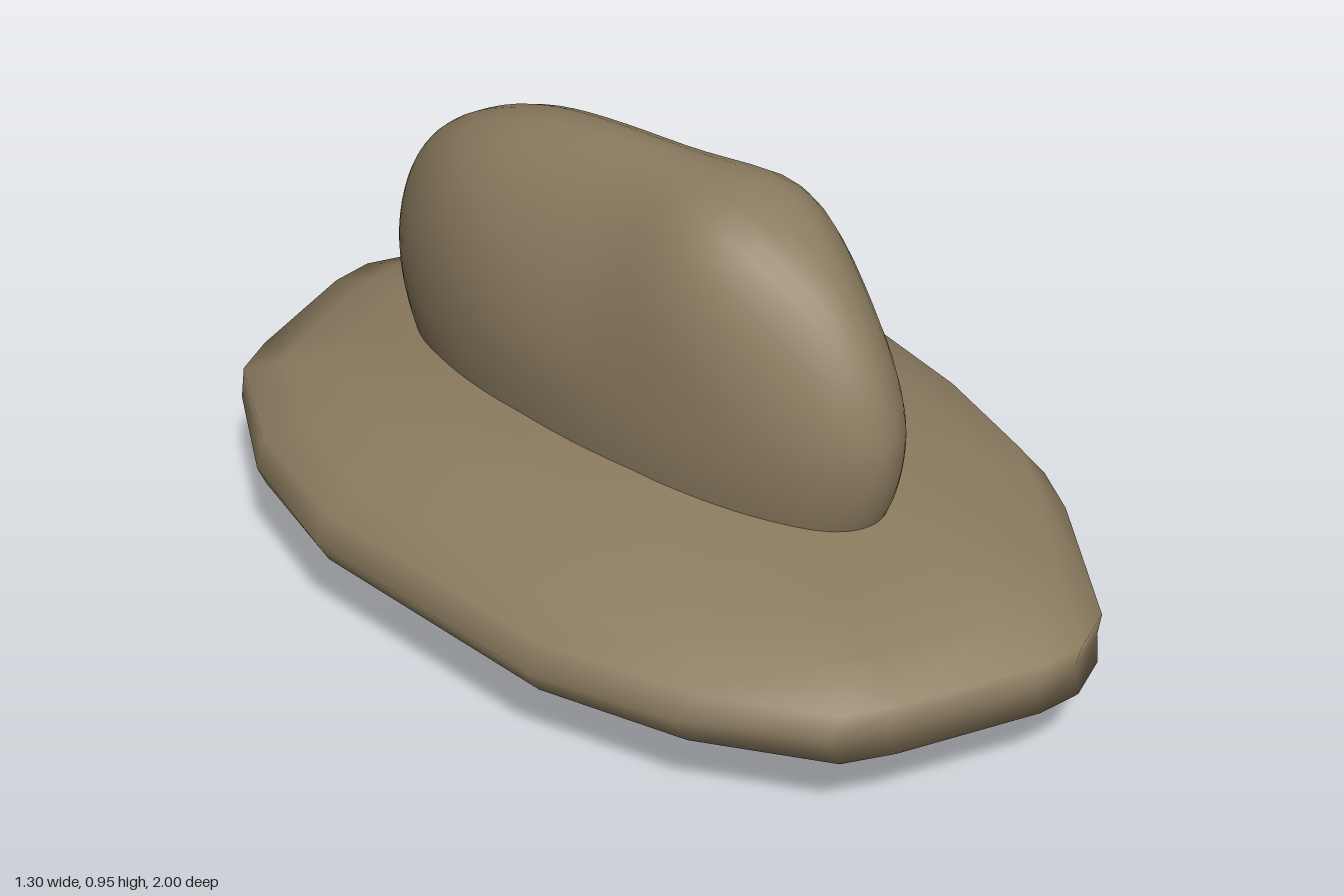
import * as THREE from 'three';

// Skin closed cross-section rings and close both ends
function loft(rings, start, end) {
  const n = rings[0].length, m = rings.length;
  const points = [...rings.flat(), start, end];
  const index = [], first = n * m, last = first + 1;
  for (let j = 0; j < n; j++) {
    const k = (j + 1) % n;
    index.push(first, j, k);
    for (let i = 0; i < m - 1; i++) {
      const a = i * n + j, b = i * n + k;
      index.push(a, a + n, b, b, a + n, b + n);
    }
    index.push(last, (m - 1) * n + k, (m - 1) * n + j);
  }
  const geometry = new THREE.BufferGeometry();
  geometry.setAttribute('position', new THREE.Float32BufferAttribute(points.flat(), 3));
  geometry.setIndex(index);
  geometry.computeVertexNormals();
  return geometry;
}

// Wide, angular brim: one outline rescaled level by level
function brimGeometry() {
  const half = [[0.65, 0], [0.59, 0.3], [0.5, 0.57], [0.43, 0.68], [0.19, 0.96], [0.08, 1],
    [-0.02, 0.99], [-0.31, 0.89], [-0.41, 0.84], [-0.56, 0.6], [-0.65, 0.3], [-0.65, 0]];
  const outline = [...half, ...half.slice(1, -1).reverse().map(([x, z]) => [x, -z])];
  // height, extent towards -x, extent towards +x, extent along z
  const levels = [
    [0.004, 0.1, 0.13, 0.25], [0.023, 0.38, 0.22, 0.55], [0.065, 0.47, 0.43, 0.79],
    [0.1, 0.55, 0.57, 0.88], [0.16, 0.62, 0.61, 1], [0.21, 0.65, 0.65, 0.985],
    [0.265, 0.62, 0.62, 1], [0.31, 0.56, 0.6, 0.89], [0.347, 0.48, 0.49, 0.77],
    [0.385, 0.39, 0.32, 0.5], [0.404, 0.32, 0.2, 0.22]];
  const rings = levels.map(([y, left, right, depth]) =>
    outline.map(([x, z]) => [x / 0.65 * (x < 0 ? left : right), y, z * depth]));
  return loft(rings, [0, 0, 0], [-0.04, 0.405, 0]);
}

// Tall narrow crown: sections from front to back, pinched at mid-length
function crownGeometry() {
  const waist = 0.53, midX = -0.017, midZ = -0.053, halfLength = 0.658;
  const rings = [], steps = 40, sides = 40;
  const arc = (u, n) => Math.pow(Math.max(0, 1 - Math.pow(Math.min(1, u), n)), 1 / n);
  for (let i = 1; i < steps; i++) {
    const a = Math.PI * i / steps;
    const z = midZ + halfLength * Math.cos(a);
    const width = 0.248 * Math.sin(a);
    const top = 0.425 * (z > 0.2 ? arc((z - 0.2) / 0.405, 1.75) : arc((0.2 - z) / 0.911, 2.5));
    const bottom = 0.5 * Math.sin(a);
    // Fuller shoulders fore and aft of the pinch
    const power = 1.75 + 0.95 * Math.exp(-(((z - 0.25) / 0.15) ** 2))
      + 0.4 * Math.exp(-(((z + 0.45) / 0.2) ** 2));
    const ring = [];
    for (let j = 0; j < sides; j++) {
      const t = 2 * Math.PI * j / sides, c = Math.cos(t), s = Math.sin(t);
      const e = s > 0 ? 2 / power : 1;
      ring.push([
        midX + width * Math.sign(c) * Math.abs(c) ** e,
        waist + (s > 0 ? top : bottom) * Math.sign(s) * Math.abs(s) ** e, z]);
    }
    rings.push(ring);
  }
  return loft(rings, [midX, waist, midZ + halfLength], [midX, waist, midZ - halfLength]);
}

export function createModel() {
  const group = new THREE.Group();
  group.name = 'hat';
  const felt = new THREE.MeshStandardMaterial({ color: 0x8c7c60 });
  felt.name = 'tan felt';
  const brim = new THREE.Mesh(brimGeometry(), felt);
  brim.name = 'brim';
  const crown = new THREE.Mesh(crownGeometry(), felt);
  crown.name = 'crown';
  group.add(brim, crown);
  return group;
}
